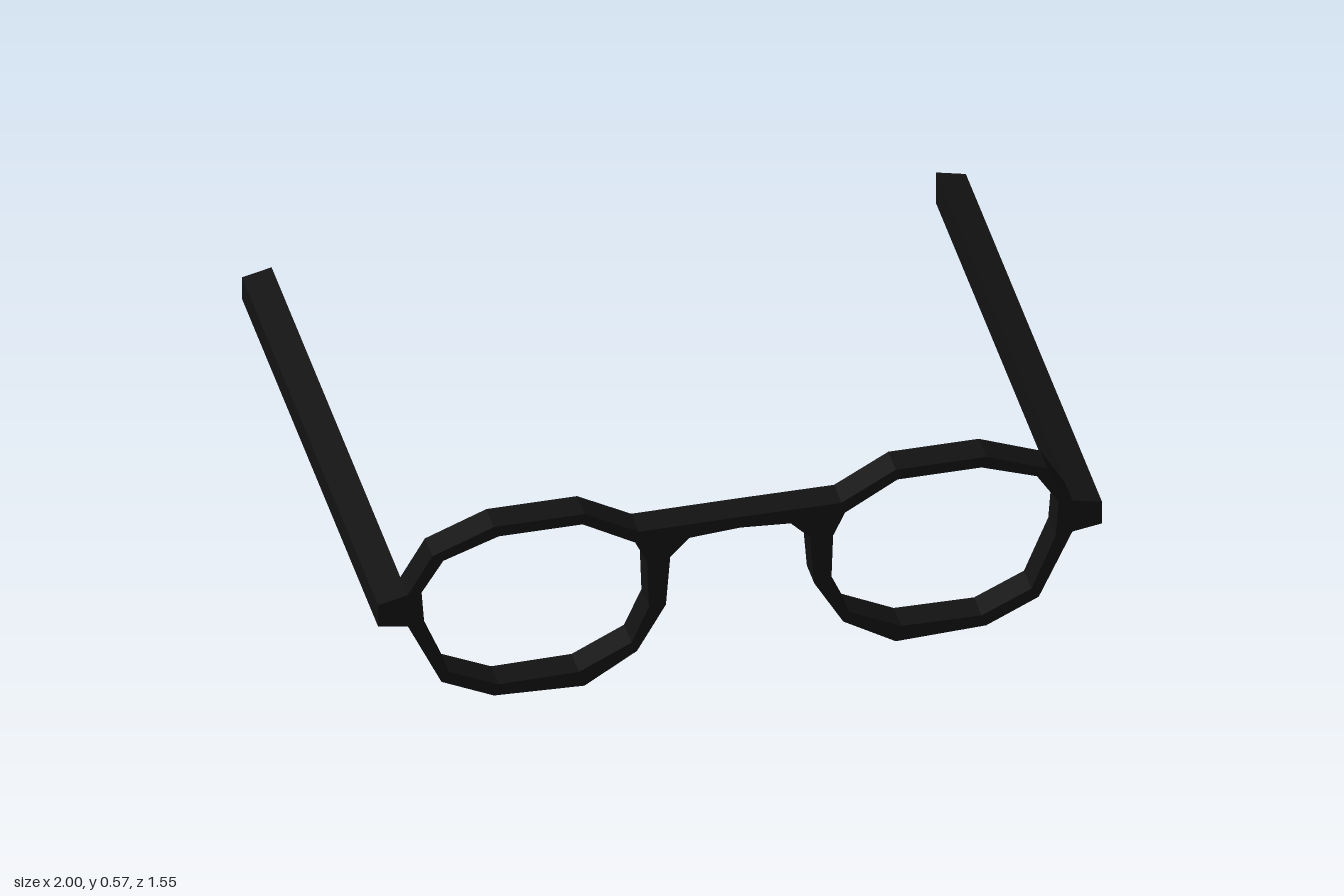
import * as THREE from 'three';

const FRONT = 0.773, RIM_BACK = 0.688, ARM_BACK = -0.773;

// outline of the left half, from the bridge top round the rim to the bridge underside
const outline = [
  [0, 0.485], [0.28, 0.484], [0.43, 0.568], [0.68, 0.568], [0.85, 0.5], [0.918, 0.383],
  [0.918, 0.28], [0.825, 0.08], [0.68, 0.01], [0.43, 0], [0.285, 0.09], [0.205, 0.23],
  [0.193, 0.385], [0.14, 0.44], [0, 0.45],
];

// lens opening
const opening = [
  [0.435, 0.535], [0.667, 0.535], [0.82, 0.48], [0.88, 0.385], [0.872, 0.275], [0.805, 0.11],
  [0.667, 0.045], [0.445, 0.048], [0.3, 0.12], [0.252, 0.23], [0.257, 0.38], [0.29, 0.45],
];

// side arm cross-section
const armSection = [[0.918, 0.383], [1, 0.364], [1, 0.293], [0.918, 0.28]];

// clockwise on both sides
function points(list, side) {
  const result = list.map(([x, y]) => new THREE.Vector2(x * side, y));
  return side > 0 ? result : result.reverse();
}

function extrude(name, shape, back, material) {
  const geometry = new THREE.ExtrudeGeometry(shape, { depth: FRONT - back, bevelEnabled: false });
  geometry.translate(0, 0, back);
  const mesh = new THREE.Mesh(geometry, material);
  mesh.name = name;
  return mesh;
}

export function createModel() {
  const group = new THREE.Group();
  group.name = 'eyeglasses';
  const material = new THREE.MeshStandardMaterial({ color: 0x121212, flatShading: true });

  // rims and bridge in one piece, holes wound against the outline
  const frame = new THREE.Shape([...points(outline, 1), ...points(outline.slice(1, -1), -1)]);
  for (const side of [1, -1]) frame.holes.push(new THREE.Path(points(opening, side).reverse()));
  group.add(extrude('frontFrame', frame, RIM_BACK, material));

  // side arms running straight back
  for (const side of [1, -1]) {
    const arm = new THREE.Shape(points(armSection, side));
    group.add(extrude(side > 0 ? 'leftArm' : 'rightArm', arm, ARM_BACK, material));
  }
  return group;
}
